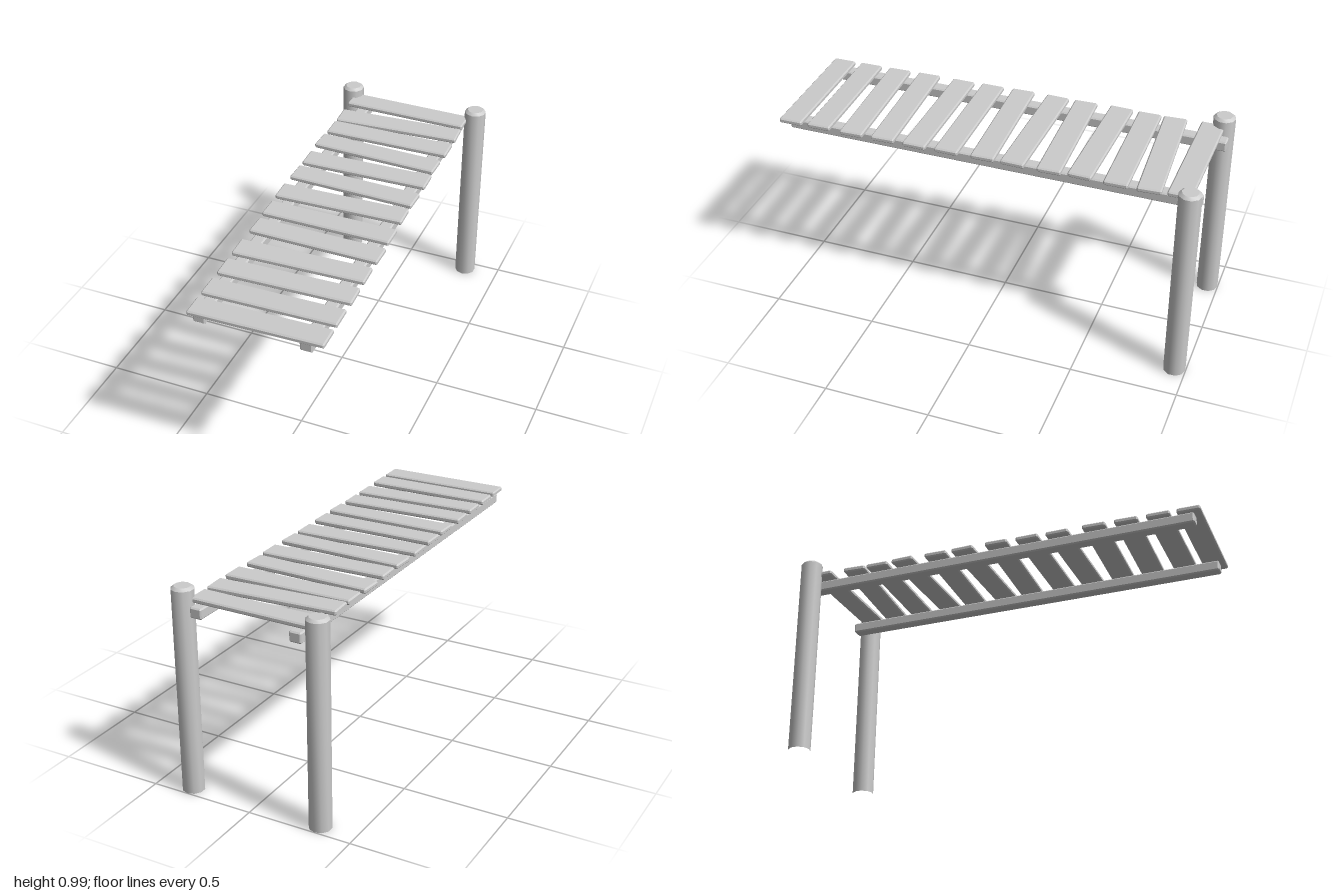
import * as THREE from 'three';
import { ConvexGeometry } from 'three/addons/geometries/ConvexGeometry.js';
import { toCreasedNormals } from 'three/addons/utils/BufferGeometryUtils.js';

const material = new THREE.MeshStandardMaterial({ color: 0xcccccc });

// Box with every edge cut by a small chamfer
function chamferedBox(w, h, d, c) {
  const points = [];
  for (const sx of [-1, 1]) for (const sy of [-1, 1]) for (const sz of [-1, 1]) {
    const x = w / 2, y = h / 2, z = d / 2;
    points.push(
      new THREE.Vector3(sx * x, sy * (y - c), sz * (z - c)),
      new THREE.Vector3(sx * (x - c), sy * y, sz * (z - c)),
      new THREE.Vector3(sx * (x - c), sy * (y - c), sz * z)
    );
  }
  return new ConvexGeometry(points);
}

function addMesh(parent, name, geometry, x, y, z) {
  const mesh = new THREE.Mesh(geometry, material);
  mesh.name = name;
  mesh.position.set(x, y, z);
  parent.add(mesh);
  return mesh;
}

export function createModel() {
  const model = new THREE.Group();
  model.name = 'pierWalkway';

  // Round posts at the back, chamfered on top and open underneath
  const postProfile = [[0.052, 0], [0.052, 0.973], [0.038, 0.985], [0, 0.985]]
    .map(([r, y]) => new THREE.Vector2(r, y));
  const postGeometry = toCreasedNormals(new THREE.LatheGeometry(postProfile, 10), 0.7);

  // Long rails under the deck
  const railGeometry = chamferedBox(0.058, 0.05, 1.95, 0.006);

  for (const [side, s] of [['left', 1], ['right', -1]]) {
    addMesh(model, side + 'Post', postGeometry, s * 0.328, 0, -0.947);
    addMesh(model, side + 'Rail', railGeometry, s * 0.242, 0.886, -0.01);
  }

  // Uneven deck planks: x, z, slope across the deck
  const planks = [
    [-0.013, -0.897, 0.009], [-0.005, -0.743, -0.062], [-0.002, -0.608, -0.016],
    [-0.007, -0.458, 0.03], [0, -0.302, -0.026], [0, -0.148, 0.025],
    [0.001, 0.008, -0.03], [0.007, 0.17, 0], [0.013, 0.32, 0.009],
    [0.013, 0.487, -0.034], [0.018, 0.64, -0.034], [0.021, 0.796, -0.017],
    [0.024, 0.937, -0.017]
  ];
  const plankGeometry = chamferedBox(0.614, 0.024, 0.11, 0.006);
  const deck = new THREE.Group();
  deck.name = 'deck';
  planks.forEach(([x, z, slope], i) => {
    const lifted = i > 10; // the front planks sit slightly tilted
    const plank = addMesh(deck, 'plank' + (i + 1), plankGeometry, x, lifted ? 0.928 : 0.926, z);
    plank.rotation.set(0, -slope, lifted ? 0.008 : 0);
  });
  model.add(deck);

  return model;
}
